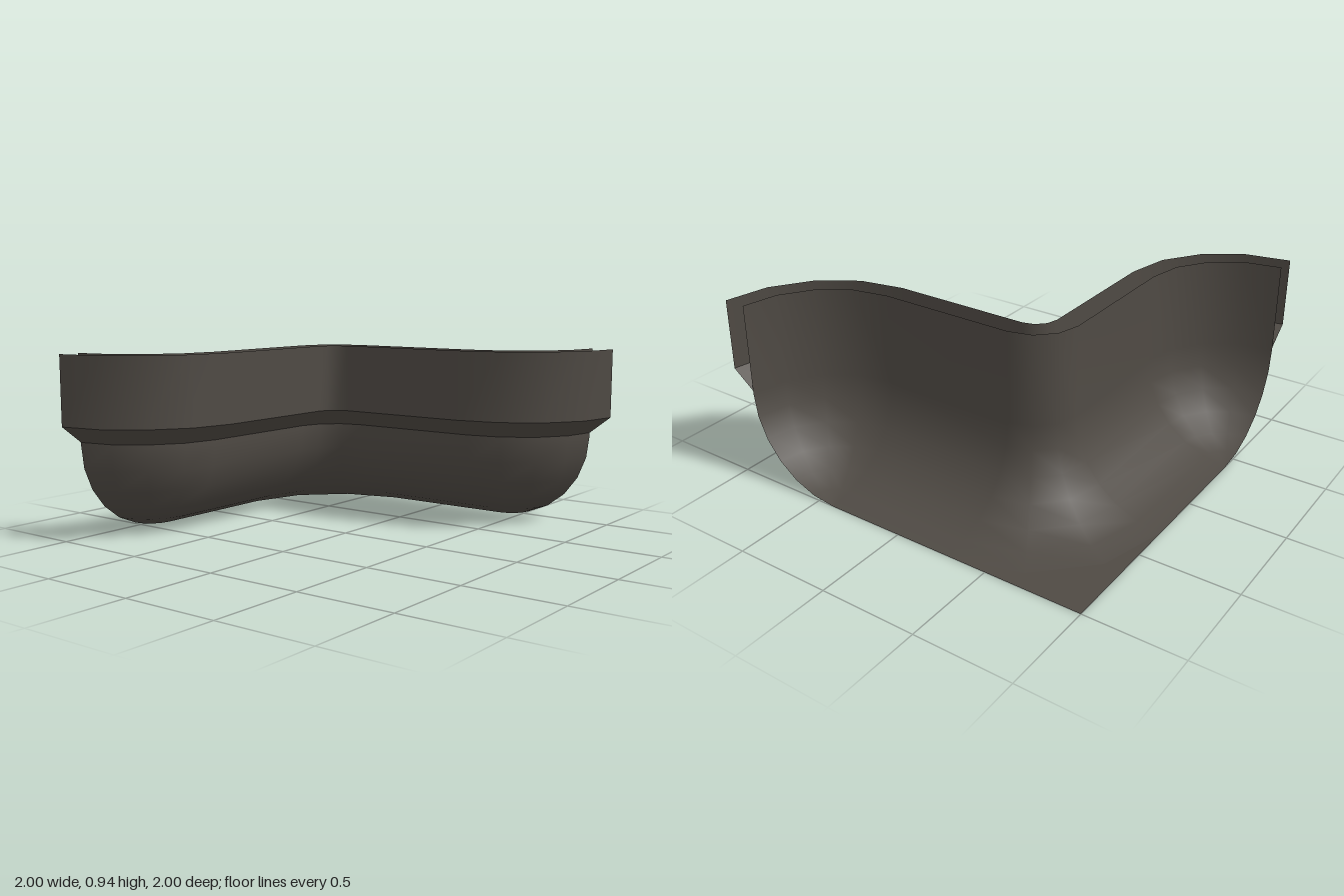
import * as THREE from 'three';

const TOP = 0.94;      // rim height
const R_END = 0.59;    // outer radius of the two end bends
const R_INNER = 0.115; // outer radius of the middle corner
const GAP = 0.115;     // distance from fascia to basin wall
const BOWL = R_END - GAP; // radius of the curved basin bottom
const MID = 1 - R_END - R_INNER;

// S-shaped plan: each station has a fascia point and a direction into the basin
function makeStations() {
  const stations = [];
  const bend = (cx, cz, r, from, to, steps, inward) => {
    for (let i = 0; i <= steps; i++) {
      const a = from + ((to - from) * i) / steps;
      const ux = Math.cos(a), uz = Math.sin(a);
      stations.push({ x: cx + r * ux, z: cz + r * uz, nx: ux * inward, nz: uz * inward });
    }
  };
  bend(R_END - 1, -1, R_END, Math.PI, Math.PI / 2, 4, -1);
  bend(MID, -MID, R_INNER, -Math.PI / 2, 0, 3, 1);
  bend(1, 1 - R_END, R_END, Math.PI, Math.PI / 2, 4, -1);
  return stations;
}

// Sweep a profile of [inward offset, height] along the stations
function sweep(stations, profile) {
  const pos = [], index = [], n = profile.length;
  for (const s of stations) {
    for (const [d, y] of profile) pos.push(s.x + s.nx * d, y, s.z + s.nz * d);
  }
  for (let i = 0; i < stations.length - 1; i++) {
    for (let j = 0; j < n - 1; j++) {
      const a = i * n + j, b = a + n;
      index.push(a, a + 1, b, b, a + 1, b + 1);
    }
  }
  const g = new THREE.BufferGeometry();
  g.setAttribute('position', new THREE.Float32BufferAttribute(pos, 3));
  g.setIndex(index);
  g.computeVertexNormals();
  return g;
}

export function createModel() {
  const group = new THREE.Group();
  const material = new THREE.MeshStandardMaterial({ color: 0x4f4a44, side: THREE.DoubleSide });
  material.name = 'dark warm grey';
  const add = (name, geometry) => {
    const mesh = new THREE.Mesh(geometry, material);
    mesh.name = name;
    group.add(mesh);
  };

  const stations = makeStations();

  // Basin: vertical wall running into a quarter-round bottom
  const basin = [[GAP, TOP]];
  for (let i = 0; i <= 6; i++) {
    const a = (i / 6) * Math.PI / 2;
    basin.push([R_END - BOWL * Math.cos(a), BOWL - BOWL * Math.sin(a)]);
  }
  add('basin', sweep(stations, basin));

  // Outer fascia and the sloping ledge that joins it to the basin
  add('fascia', sweep(stations, [[0, TOP], [0, 0.58]]));
  add('ledge', sweep(stations, [[0, 0.58], [GAP, 0.49]]));

  // Flat floor filling the corner beyond the middle bend
  const r = R_INNER + R_END;
  const floor = new THREE.Shape();
  floor.moveTo(1, 1);
  for (let i = 0; i <= 3; i++) {
    const a = Math.PI / 2 - (i / 3) * Math.PI / 2;
    floor.lineTo(MID + r * Math.cos(a), MID + r * Math.sin(a));
  }
  add('cornerFloor', new THREE.ShapeGeometry(floor).rotateX(-Math.PI / 2));

  return group;
}
